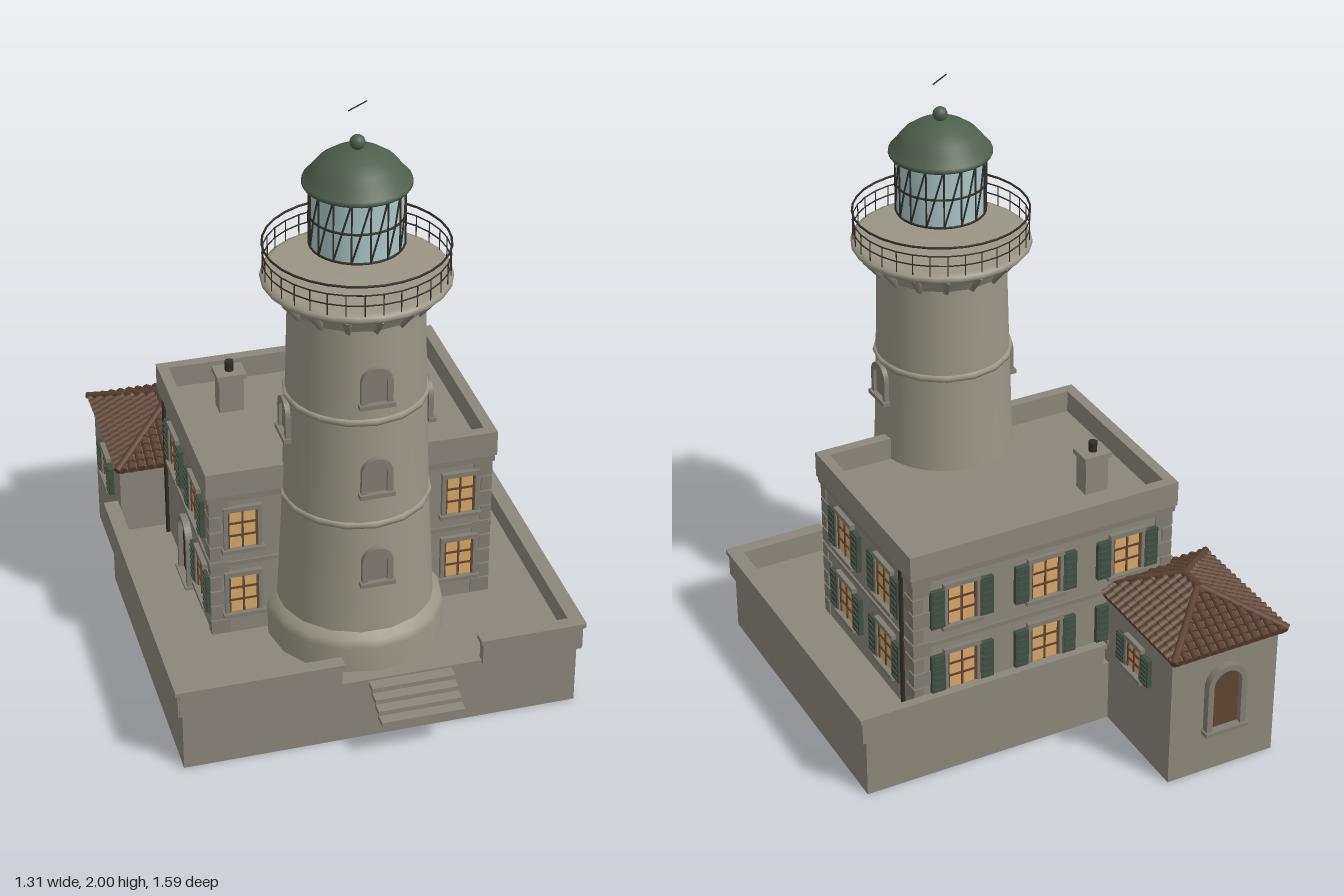
import * as THREE from 'three';

const mat = (name, color) => Object.assign(new THREE.MeshStandardMaterial({ color }), { name });

export function createModel() {
  const M = {
    stone: mat('stone', 0x8b867b), tower: mat('towerPlaster', 0x9a9586), trim: mat('trim', 0x827d72),
    green: mat('domeGreen', 0x4f5e4d), shutter: mat('shutterGreen', 0x414f42), amber: mat('litGlass', 0xd8a767),
    glass: mat('lanternGlass', 0xa9c6c8), iron: mat('iron', 0x332d27), tile: mat('roofTile', 0x5c4333), wood: mat('wood', 0x5f4534),
  };
  M.glass.side = M.tile.side = THREE.DoubleSide;
  const root = new THREE.Group();
  root.name = 'lighthouse';
  const group = (name, parent = root) => {
    const g = new THREE.Group();
    g.name = name;
    parent.add(g);
    return g;
  };
  const add = (p, name, geo, m, x = 0, y = 0, z = 0) => {
    const o = new THREE.Mesh(geo, m);
    o.name = name;
    o.position.set(x, y, z);
    p.add(o);
    return o;
  };
  // Box given by its minimum and maximum corners
  const box = (p, name, m, x0, x1, y0, y1, z0, z1) =>
    add(p, name, new THREE.BoxGeometry(x1 - x0, y1 - y0, z1 - z0), m, (x0 + x1) / 2, (y0 + y1) / 2, (z0 + z1) / 2);
  // Rod between two points
  const rod = (p, name, m, a, b, r0, r1 = r0, sides = 6) => {
    const d = b.clone().sub(a);
    const o = add(p, name, new THREE.CylinderGeometry(r1, r0, d.length(), sides), m);
    o.position.copy(a).addScaledVector(d, 0.5);
    o.quaternion.setFromUnitVectors(new THREE.Vector3(0, 1, 0), d.normalize());
    return o;
  };
  const V = (x, y, z) => new THREE.Vector3(x, y, z);
  const polar = (r, a, y) => V(r * Math.sin(a), y, r * Math.cos(a));
  const lathe = (p, name, m, pts, seg = 32) =>
    add(p, name, new THREE.LatheGeometry(pts.map(q => new THREE.Vector2(...q)), seg), m);
  const hoop = (p, name, m, r, y, t, seg = 32) => {
    add(p, name, new THREE.TorusGeometry(r, t, 6, seg), m, 0, y, 0).rotation.x = Math.PI / 2;
  };
  // Local frame on a wall: x along it, z outward
  const onWall = (name, x, y, z, angle, parent = root) => {
    const g = group(name, parent);
    g.position.set(x, y, z);
    g.rotation.y = angle;
    return g;
  };
  const archPath = (Type, w, h) => {
    const s = new Type();
    s.moveTo(-w / 2, 0);
    s.lineTo(w / 2, 0);
    s.lineTo(w / 2, h - w / 2);
    s.absarc(0, h - w / 2, w / 2, 0, Math.PI, false);
    s.closePath();
    return s;
  };

  // Window centred on its group, with optional shutters
  const windowUnit = (g, w, h, shutters) => {
    const t = 0.013;
    box(g, 'pane', M.amber, -w / 2, w / 2, -h / 2, h / 2, -0.002, 0.005);
    for (const s of [-1, 1]) {
      const x = s * (w / 2 + t / 2);
      box(g, 'jamb', M.trim, x - t / 2, x + t / 2, -h / 2, h / 2, 0, 0.014);
      if (shutters) {
        const c = s * (w / 2 + 0.034);
        box(g, 'shutter', M.shutter, c - 0.023, c + 0.023, -h / 2, h / 2, 0, 0.016);
        for (let i = 0; i < 6; i++) {
          const y = -h / 2 + (i + 0.5) * h / 6;
          box(g, 'louvre', M.shutter, c - 0.017, c + 0.017, y - 0.004, y + 0.004, 0.016, 0.02);
        }
      }
    }
    box(g, 'lintel', M.trim, -w / 2 - t, w / 2 + t, h / 2, h / 2 + 0.016, 0, 0.016);
    box(g, 'sill', M.trim, -w / 2 - 0.02, w / 2 + 0.02, -h / 2 - 0.014, -h / 2, 0, 0.022);
    for (const x of [-w / 2 + 0.003, 0, w / 2 - 0.003]) box(g, 'mullion', M.wood, x - 0.003, x + 0.003, -h / 2, h / 2, 0, 0.009);
    for (const y of [-h / 6, h / 6]) box(g, 'glazingBar', M.wood, -w / 2, w / 2, y - 0.003, y + 0.003, 0, 0.009);
  };
  // Arched opening standing on its group origin
  const archUnit = (g, w, h, fill, t = 0.016, depth = 0.022) => {
    const s = archPath(THREE.Shape, w + 2 * t, h + t);
    s.holes.push(archPath(THREE.Path, w, h));
    add(g, 'archFrame', new THREE.ExtrudeGeometry(s, { depth, bevelEnabled: false, curveSegments: 10 }), M.trim);
    add(g, 'archFill', new THREE.ExtrudeGeometry(archPath(THREE.Shape, w, h), { depth: 0.006, bevelEnabled: false }), fill);
    box(g, 'archSill', M.trim, -w / 2 - t - 0.006, w / 2 + t + 0.006, -0.014, 0, 0, depth + 0.008);
  };

  // Terrace with parapet, open at the steps
  const terrace = group('terrace');
  box(terrace, 'terraceBlock', M.stone, -0.63, 0.63, 0, 0.215, -0.375, 0.655);
  const wall = (x0, x1, z0, z1) => {
    box(terrace, 'parapet', M.stone, x0, x1, 0.205, 0.285, z0, z1);
    box(terrace, 'parapetCap', M.stone, x0 - 0.008, x1 + 0.008, 0.285, 0.3, z0 - 0.006, z1 + 0.006);
  };
  wall(-0.645, -0.613, -0.384, 0.665);
  wall(0.613, 0.645, -0.384, 0.665);
  wall(-0.64, -0.133, 0.636, 0.668);
  wall(0.318, 0.64, 0.636, 0.668);
  wall(-0.2, 0.64, -0.384, -0.366);
  for (let i = 0; i < 4; i++) box(terrace, 'step', M.stone, -0.045, 0.22, 0.192 - i * 0.017, 0.208 - i * 0.017, 0.65 + i * 0.035, 0.695 + i * 0.035);

  // House with roof parapet, courses and quoins
  const house = group('house');
  box(house, 'walls', M.stone, -0.45, 0.45, 0.21, 0.745, -0.35, 0.305);
  const band = (name, o, y0, y1) => box(house, name, M.trim, -0.45 - o, 0.45 + o, y0, y1, -0.35 - o, 0.305 + o);
  band('stringCourse', 0.006, 0.47, 0.485);
  band('cornice', 0.01, 0.712, 0.735);
  for (const s of [-1, 1]) {
    box(house, 'roofParapetSide', M.stone, s * 0.4475 - 0.0175, s * 0.4475 + 0.0175, 0.735, 0.82, -0.365, 0.32);
    box(house, 'roofParapetEnd', M.stone, -0.43, 0.43, 0.735, 0.82, s > 0 ? 0.285 : -0.365, s > 0 ? 0.32 : -0.33);
    for (const z of [-0.35, 0.305]) for (let i = 0; i < 9; i++) {
      const a = i % 2 ? 0.035 : 0.06, b = i % 2 ? 0.06 : 0.035, y = 0.22 + i * 0.055, d = z < 0 ? 1 : -1;
      box(house, 'quoin', M.trim, s * 0.4545 - s * a / 2 - a / 2, s * 0.4545 - s * a / 2 + a / 2, y, y + 0.049,
        z - d * 0.005 + (d > 0 ? 0 : -b), z - d * 0.005 + (d > 0 ? b : 0));
    }
    rod(house, 'downpipe', M.iron, V(s * 0.46, 0.22, -0.285), V(s * 0.46, 0.73, -0.285), 0.007);
  }
  box(house, 'chimney', M.stone, -0.31, -0.23, 0.74, 0.87, -0.195, -0.135);
  box(house, 'chimneyCap', M.stone, -0.318, -0.222, 0.865, 0.882, -0.203, -0.125);
  rod(house, 'chimneyPot', M.iron, V(-0.27, 0.88, -0.165), V(-0.27, 0.916, -0.165), 0.014, 0.014, 10);

  // House windows and side door
  const H = Math.PI / 2;
  for (const y of [0.365, 0.605]) {
    for (const x of [-0.35, 0.35]) windowUnit(onWall('frontWindow', x, y, 0.305, 0, house), 0.095, 0.135, false);
    for (const x of [-0.29, 0, 0.29]) windowUnit(onWall('backWindow', x, y, -0.35, Math.PI, house), 0.1, 0.135, true);
    for (const z of [-0.16, 0.127]) {
      windowUnit(onWall('leftWindow', 0.45, y, z, H, house), 0.1, 0.135, true);
      if (y > 0.5) windowUnit(onWall('rightWindow', -0.45, y, z, -H, house), 0.1, 0.135, true);
    }
  }
  windowUnit(onWall('rightLowerWindow', -0.45, 0.365, 0.19, -H, house), 0.1, 0.135, true);
  archUnit(onWall('sideDoor', -0.45, 0.225, -0.02, -H, house), 0.1, 0.21, M.iron);

  // Tower shaft, bands and gallery
  const tower = group('tower');
  tower.position.z = 0.34;
  lathe(tower, 'towerFoot', M.tower, [[0.28, 0.21], [0.28, 0.3], [0.272, 0.325], [0.245, 0.345]], 16);
  lathe(tower, 'shaft', M.tower, [[0.246, 0.33], [0.226, 0.72], [0.214, 1.08], [0.203, 1.47]]);
  for (const [y, r] of [[0.722, 0.232], [1.077, 0.221]]) lathe(tower, 'band', M.tower,
    [[r - 0.02, y - 0.012], [r, y - 0.01], [r + 0.003, y], [r, y + 0.01], [r - 0.02, y + 0.012]], 16);
  lathe(tower, 'galleryCorbel', M.tower, [[0.2, 1.375], [0.215, 1.385], [0.215, 1.4], [0.25, 1.44], [0.27, 1.447]], 16);
  lathe(tower, 'galleryDeck', M.tower, [[0.2, 1.445], [0.278, 1.447], [0.285, 1.455], [0.283, 1.468], [0.265, 1.474], [0, 1.479]], 24);
  for (let i = 0; i < 16; i++) {
    const a = i * Math.PI / 8;
    rod(tower, 'bracket', M.trim, polar(0.21, a, 1.38), polar(0.262, a, 1.448), 0.01, 0.014, 4);
  }
  for (let i = 0; i < 32; i++) {
    const a = i * Math.PI / 16;
    rod(tower, 'railPost', M.iron, polar(0.276, a, 1.47), polar(0.276, a, 1.54), 0.0018, 0.0018, 4);
  }
  for (const y of [1.505, 1.538]) hoop(tower, 'rail', M.iron, 0.276, y, 0.0022);
  hoop(tower, 'handrail', M.iron, 0.277, 1.567, 0.0035);

  // Tower windows
  for (const [y, a, r] of [[1.145, 0, 0.208], [0.84, 0, 0.219], [0.53, 0, 0.233], [0.955, H, 0.215], [0.955, -H, 0.215]]) {
    const p = polar(r, a, y);
    archUnit(onWall('towerWindow', p.x, p.y, p.z, a, tower), 0.062, 0.1, M.trim, 0.018, 0.016);
  }

  // Lantern room with lattice glazing
  const lantern = group('lantern', tower);
  add(lantern, 'glazing', new THREE.CylinderGeometry(0.138, 0.138, 0.195, 32, 1, true), M.glass, 0, 1.662, 0);
  for (const y of [1.566, 1.66, 1.758]) hoop(lantern, 'glazingRing', M.iron, 0.14, y, 0.0035);
  for (let i = 0; i < 16; i++) {
    const a = i * Math.PI / 8;
    rod(lantern, 'glazingPost', M.iron, polar(0.141, a, 1.566), polar(0.141, a, 1.76), 0.003, 0.003, 5);
    const mid = polar(0.142, a + Math.PI / 16, 1.663);
    rod(lantern, 'diagonalBar', M.iron, polar(0.141, a, 1.566), mid, 0.003, 0.003, 5);
    rod(lantern, 'diagonalBar', M.iron, mid, polar(0.141, a + Math.PI / 8, 1.76), 0.003, 0.003, 5);
  }
  lathe(lantern, 'dome', M.green, [[0.0, 1.755], [0.158, 1.755], [0.162, 1.762], [0.16, 1.772], [0.15, 1.776], [0.138, 1.797],
    [0.115, 1.825], [0.08, 1.849], [0.04, 1.863], [0, 1.868]]);
  add(lantern, 'finial', new THREE.SphereGeometry(0.023, 16, 12), M.green, 0, 1.885, 0);
  rod(lantern, 'vane', M.iron, V(-0.034, 1.998, 0.024), V(0.034, 1.998, -0.024), 0.0022);

  // Annex
  const annex = group('annex');
  box(annex, 'annexWalls', M.stone, -0.605, -0.225, 0, 0.465, -0.755, -0.335);
  for (const s of [-1, 1]) windowUnit(onWall('annexWindow', s > 0 ? -0.225 : -0.605, 0.34, -0.54, s * H, annex), 0.08, 0.1, true);
  archUnit(onWall('annexDoor', -0.415, 0.165, -0.755, Math.PI, annex), 0.1, 0.215, M.wood, 0.02, 0.025);

  // Hipped barrel-tile roof: each slope is columns of tapered tiles cut by the hips
  const roof = group('annexRoof', annex);
  roof.position.set(-0.415, 0, -0.542);
  const hx = 0.2, hz = 0.238, y0 = 0.472, y1 = 0.575, ridge = hz - hx;
  const slope = (dir, half, top, run) => {
    const g = group('roofSlope', roof);
    g.rotation.y = dir;
    const geo = new THREE.BufferGeometry().setAttribute('position', new THREE.Float32BufferAttribute(
      [-half, y0, run.eave, half, y0, run.eave, top, y1, run.top, -half, y0, run.eave, top, y1, run.top, -top, y1, run.top], 3));
    geo.computeVertexNormals();
    add(g, 'roofPlane', geo, M.tile);
    const n = Math.round(half * 2 / 0.03);
    for (let i = 0; i < n; i++) {
      const u = -half + (i + 0.5) * 2 * half / n;
      const f = Math.min(1, (half - Math.abs(u)) / (half - top));
      const at = (t, lift) => V(u, y0 + (y1 - y0) * t + lift, run.eave + (run.top - run.eave) * t);
      for (let t = -0.03; t < f - 0.01; t += 0.125)
        rod(g, 'tile', M.tile, at(t, 0.004), at(Math.min(t + 0.14, f), 0.001), 0.0145, 0.011, 8);
    }
  };
  for (const s of [0, 1]) {
    slope(s * Math.PI, hx, 0.001, { eave: hz, top: ridge });
    slope(s * Math.PI + H, hz, ridge, { eave: hx, top: 0 });
    for (const x of [-1, 1]) rod(roof, 'hipTile', M.tile, V(x * 0.206, y0 + 0.006, (s ? 1 : -1) * 0.244),
      V(0, y1 + 0.004, (s ? 1 : -1) * ridge), 0.012, 0.012, 8);
  }
  rod(roof, 'ridgeTile', M.tile, V(0, y1 + 0.002, -ridge - 0.012), V(0, y1 + 0.002, ridge + 0.012), 0.014, 0.014, 8);
  box(roof, 'eaveSoffit', M.tile, -hx - 0.002, hx + 0.002, y0 - 0.01, y0, -hz - 0.002, hz + 0.002);
  return root;
}
